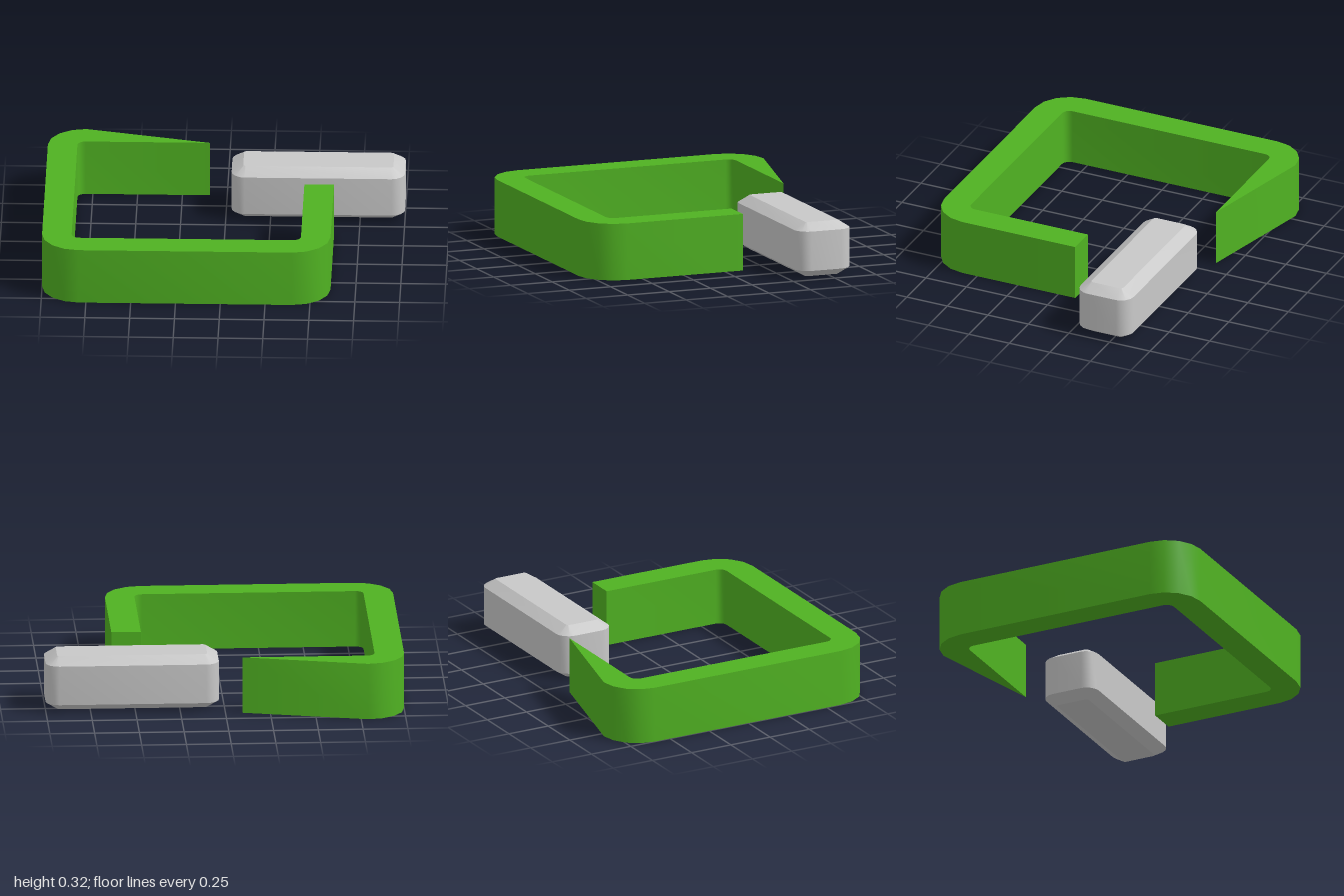
import * as THREE from 'three';
import { toCreasedNormals } from 'three/addons/utils/BufferGeometryUtils.js';

const green = new THREE.MeshStandardMaterial({ color: 0x50b222 });
green.name = 'green';
const silver = new THREE.MeshStandardMaterial({ color: 0xc8c8c8 });
silver.name = 'silver';

// Extrudes a plan shape (shape y = -z) upwards from height y
function plate(name, shape, y, options, material) {
  const geometry = new THREE.ExtrudeGeometry(shape, { curveSegments: 2, ...options });
  geometry.rotateX(-Math.PI / 2);
  geometry.translate(0, y, 0);
  const mesh = new THREE.Mesh(toCreasedNormals(geometry, 0.5), material);
  mesh.name = name;
  return mesh;
}

export function createModel() {
  const group = new THREE.Group();
  group.name = 'openSquareWithBar';
  const q = Math.PI / 2;

  // Open square frame: outer edge one way, inner edge back
  const corners = [[-0.79, 0.595, 1], [-0.79, -0.59, 2], [0.4, -0.59, 3]];
  const frame = new THREE.Shape();
  frame.moveTo(-0.095, 0.805);
  for (const [x, y, k] of corners) frame.absarc(x, y, 0.21, k * q, (k + 1) * q, false);
  frame.lineTo(0.61, 0.105);
  frame.lineTo(0.445, 0.105);
  for (const [x, y, k] of [...corners].reverse()) frame.absarc(x, y, 0.045, (k + 1) * q, k * q, true);
  frame.lineTo(-0.095, 0.64);
  frame.closePath();
  group.add(plate('openFrame', frame, 0, { depth: 0.322, bevelEnabled: false }, green));

  // Separate bar with chamfered top and bottom
  const r = 0.015;
  const [x0, x1, y0, y1] = [0.097, 0.935, 0.352, 0.548];
  const bar = new THREE.Shape();
  bar.absarc(x1 - r, y1 - r, r, 0, q, false);
  bar.absarc(x0 + r, y1 - r, r, q, 2 * q, false);
  bar.absarc(x0 + r, y0 + r, r, 2 * q, 3 * q, false);
  bar.absarc(x1 - r, y0 + r, r, 3 * q, 4 * q, false);
  const chamfer = { depth: 0.224, bevelThickness: 0.042, bevelSize: 0.065, bevelSegments: 1 };
  group.add(plate('bar', bar, 0.051, chamfer, silver));

  return group;
}
